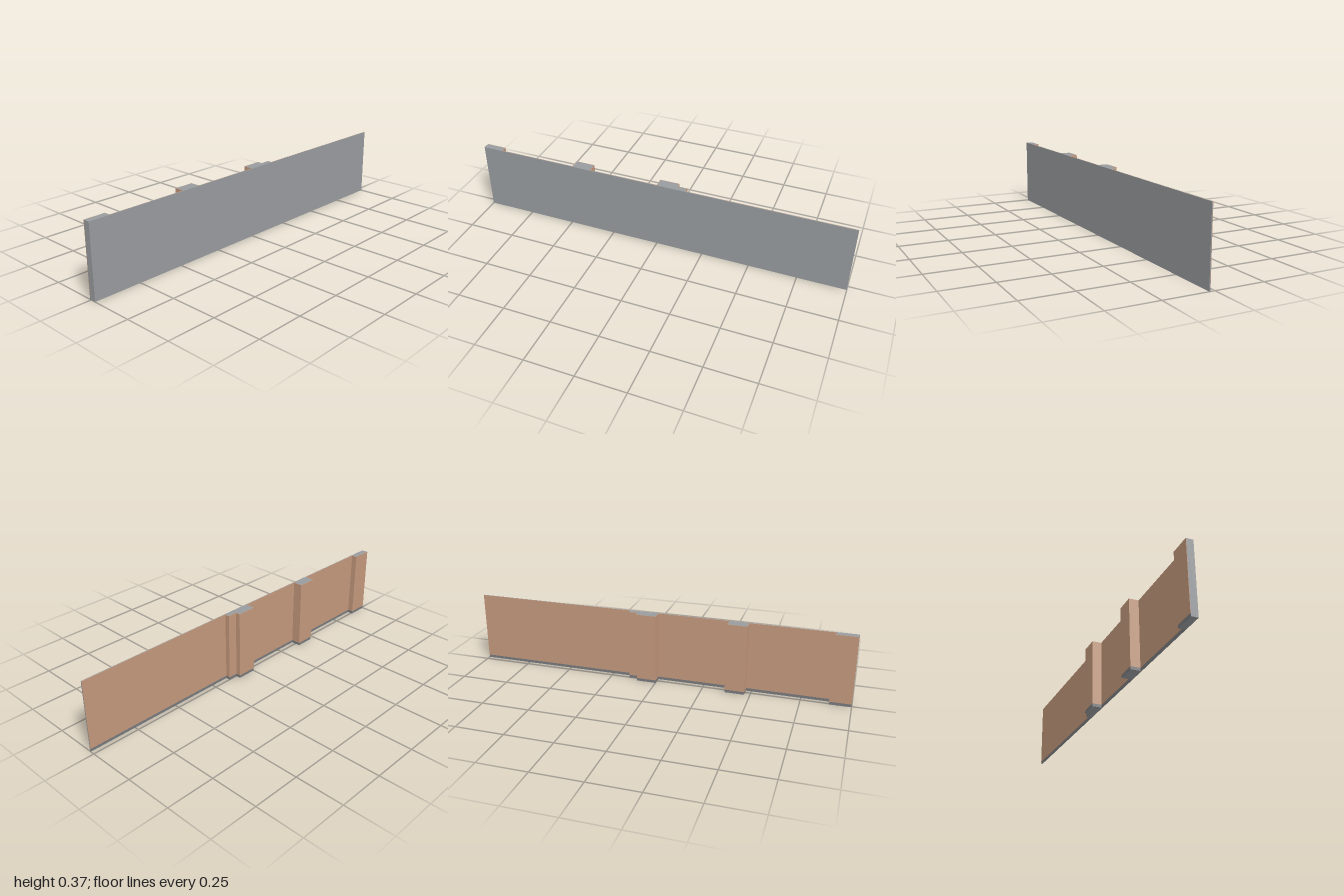
import * as THREE from 'three';

const HEIGHT = 0.37, SKIRT = 0.015, FRONT = 0.028, CORE_BACK = 0.024;

// Piers on the back: x start, x end, z of the back face
const PIERS = [
  [0.1, 0.15, 0],
  [0.0, 0.1, -0.026],
  [-0.47, -0.372, -0.026],
  [-1, -0.893, -0.006],
];

// Stepped back line from x = 1 to x = -1, moved outwards by o; shape y is -z
function backLine(o) {
  const wall = -CORE_BACK + o;
  const pts = [[1, wall]];
  PIERS.forEach(([x0, x1, z], i) => {
    const depth = -z + o;
    const prev = PIERS[i - 1], next = PIERS[i + 1];
    const joinsPrev = prev && prev[0] === x1;
    if (!joinsPrev) pts.push([x1 + o, wall]);
    pts.push([x1 + o, depth]);
    if (next && next[1] === x0) pts.push([x0 + o, depth]);
    else if (x0 === -1) pts.push([-1, depth]);
    else pts.push([x0 - o, depth], [x0 - o, wall]);
  });
  return pts;
}

// Upright prism of a plan outline between two heights
function prism(name, points, y0, y1, material) {
  const shape = new THREE.Shape(points.map(([x, y]) => new THREE.Vector2(x, y)));
  const geometry = new THREE.ExtrudeGeometry(shape, { depth: y1 - y0, bevelEnabled: false });
  geometry.rotateX(-Math.PI / 2).translate(0, y0, 0);
  const mesh = new THREE.Mesh(geometry, material);
  mesh.name = name;
  return mesh;
}

export function createModel() {
  const make = (name, color) => {
    const m = new THREE.MeshStandardMaterial({ color });
    m.name = name;
    return m;
  };
  const grey = make('grey', 0x989b9e);
  const darkGrey = make('darkGrey', 0x777a7d);
  const tan = make('tan', 0xc4987c);

  const group = new THREE.Group();
  group.name = 'wallPanel';

  // Wall with its piers
  const core = backLine(0);
  group.add(prism('wallCore', [...core, [-1, -FRONT], [1, -FRONT]], 0, HEIGHT, grey));

  // Thin layers that follow the stepped back
  const layer = (o) => [...backLine(o), ...core.slice().reverse()];
  group.add(prism('skirting', layer(0.001), 0, SKIRT, darkGrey));
  group.add(prism('cladding', layer(0.002), SKIRT, HEIGHT, tan));
  return group;
}
